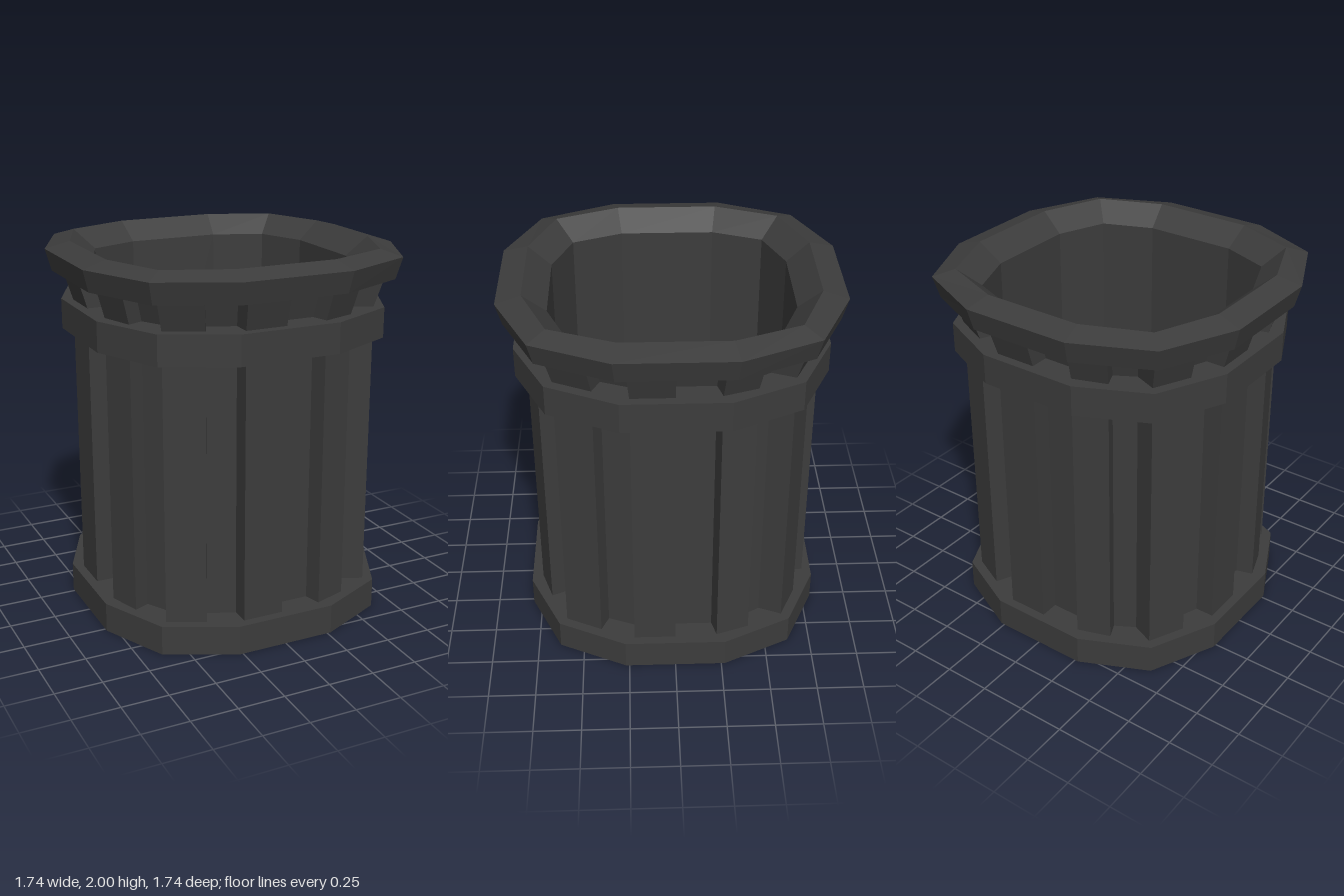
import * as THREE from 'three';

const darkMetal = new THREE.MeshStandardMaterial({ color: 0x3c3c3c, flatShading: true });
darkMetal.name = 'darkMetal';

// Repeat one side's [x, z] points around all four sides, counterclockwise from above
function fourSides(side) {
  const out = [];
  let pts = side;
  for (let k = 0; k < 4; k++) {
    out.push(...pts);
    pts = pts.map(([x, z]) => [z, -x]);
  }
  return out;
}

// Rounded-square outline: half width, half length of the flat side, corner position
const ring = (half, flat, corner) => fourSides([[-corner, corner], [-flat, half], [flat, half]]);
const scaled = (pts, s) => pts.map(([x, z]) => [x * s, z * s]);

// Skin between successive outlines, each given as [y, points]
function loft(name, sections) {
  const pos = [], idx = [];
  const n = sections[0][1].length;
  for (const [y, pts] of sections) for (const [x, z] of pts) pos.push(x, y, z);
  for (let s = 0; s < sections.length - 1; s++) {
    for (let i = 0; i < n; i++) {
      const j = (i + 1) % n;
      const a = s * n + i, b = s * n + j, c = b + n, d = a + n;
      idx.push(a, b, c, a, c, d);
    }
  }
  const indexed = new THREE.BufferGeometry();
  indexed.setAttribute('position', new THREE.Float32BufferAttribute(pos, 3));
  indexed.setIndex(idx);
  const geo = indexed.toNonIndexed();
  geo.computeVertexNormals();
  const mesh = new THREE.Mesh(geo, darkMetal);
  mesh.name = name;
  return mesh;
}

export function createModel() {
  const bin = new THREE.Group();
  bin.name = 'litterBin';

  const inner = ring(0.62, 0.25, 0.515);
  const band = ring(0.8, 0.27, 0.63);
  const centre = scaled(inner, 0);

  // Three raised slats per side with grooves between them
  const slats = fourSides([
    [-0.59, 0.59], [-0.4, 0.68], [-0.36, 0.595], [-0.22, 0.65],
    [-0.22, 0.75], [0, 0.75], [0, 0.65], [0.2, 0.65],
    [0.225, 0.74], [0.4, 0.68], [0.365, 0.6], [0.47, 0.54],
  ]);

  bin.add(loft('base', [[0, centre], [0, band], [0.16, band], [0.16, inner]]));
  bin.add(loft('slattedBody', [[0.16, slats], [1.54, slats]]));
  bin.add(loft('upperBand', [[1.54, inner], [1.54, band], [1.7, band], [1.7, inner]]));
  bin.add(loft('flaredNeck', [[1.7, slats], [1.85, scaled(slats, 1.06)]]));

  // Rim: underside, outer face, sloping top and inner lip
  bin.add(loft('rim', [
    [1.85, inner],
    [1.85, ring(0.84, 0.285, 0.665)],
    [1.965, ring(0.87, 0.295, 0.69)],
    [2, ring(0.74, 0.27, 0.605)],
    [1.9, inner],
  ]));

  // Hollow inside and its floor
  bin.add(loft('innerWall', [[1.9, inner], [0.1, inner], [0.1, centre]]));
  return bin;
}
